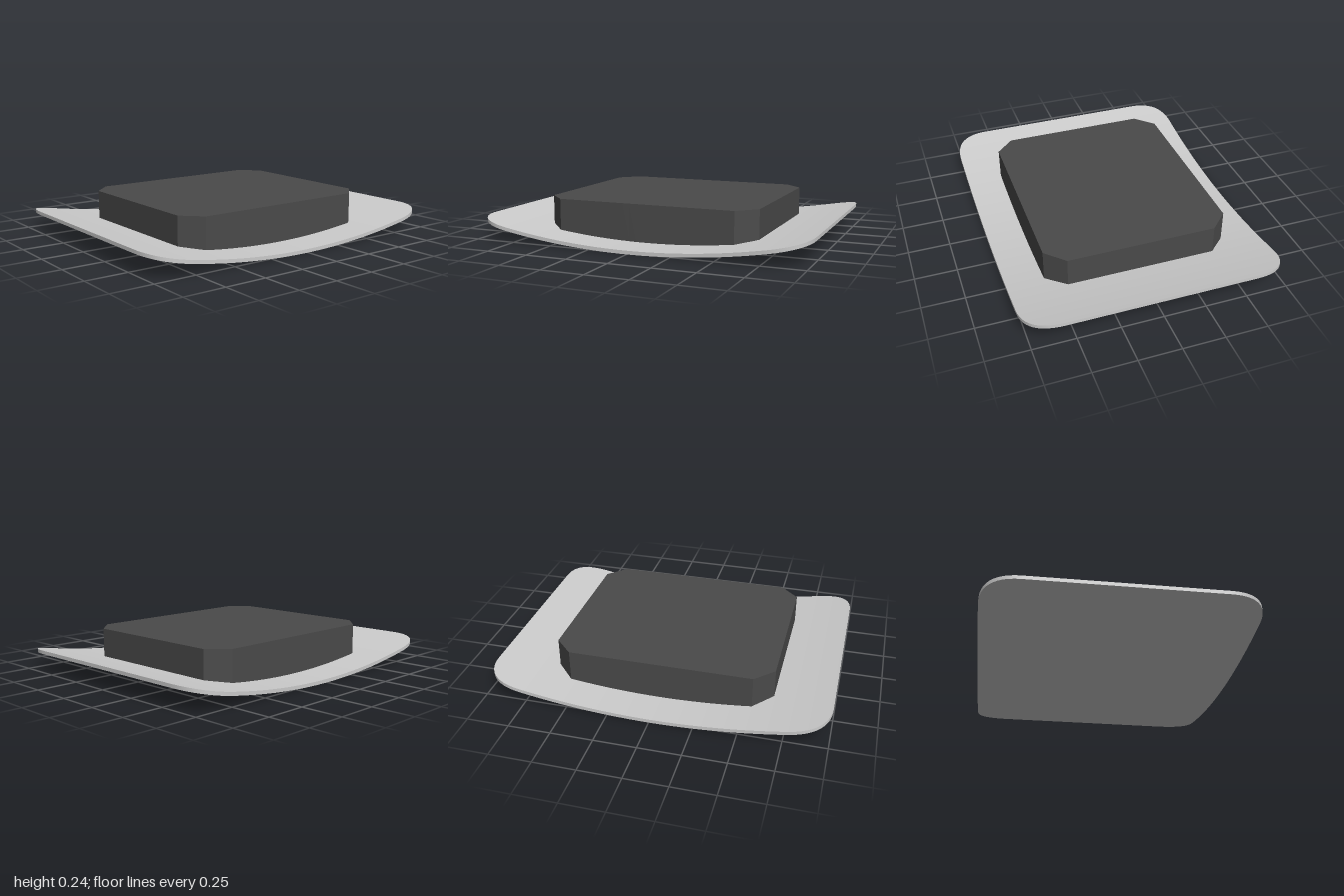
import * as THREE from 'three';
import { toCreasedNormals } from 'three/addons/utils/BufferGeometryUtils.js';

// Height of the bowed plate's underside at x
const bow = (x) => 0.114 * x * x;
const THICKNESS = 0.021;

// Solid lofted along x from stations {x, z: half depth, bottom, top}
function loft(stations) {
  const positions = [];
  const index = [];
  for (const s of stations) {
    positions.push(s.x, s.bottom, s.z, s.x, s.top, s.z, s.x, s.top, -s.z, s.x, s.bottom, -s.z);
  }
  for (let i = 0; i < stations.length - 1; i++) {
    for (let k = 0; k < 4; k++) {
      const a = i * 4 + k;
      const b = i * 4 + ((k + 1) % 4);
      index.push(a, a + 4, b, b, a + 4, b + 4);
    }
  }
  // End caps
  const e = (stations.length - 1) * 4;
  index.push(0, 1, 2, 0, 2, 3, e, e + 2, e + 1, e, e + 3, e + 2);
  const geometry = new THREE.BufferGeometry();
  geometry.setAttribute('position', new THREE.Float32BufferAttribute(positions, 3));
  geometry.setIndex(index);
  return toCreasedNormals(geometry, 0.5);
}

// Mirror a right-hand half profile of [x, halfDepth], adding a curved middle
function fullProfile(half, steps) {
  const inner = half[0];
  const middle = [];
  for (let i = 1; i < steps; i++) middle.push([-inner[0] + (2 * inner[0] * i) / steps, inner[1]]);
  const left = half.map(([x, z]) => [-x, z]).reverse();
  return [...left, ...middle, ...half];
}

export function createModel() {
  const group = new THREE.Group();
  const add = (name, geometry, color) => {
    const mesh = new THREE.Mesh(geometry, new THREE.MeshStandardMaterial({ color }));
    mesh.name = name;
    group.add(mesh);
  };

  // Thin bowed plate with rounded corners
  const r = 0.22;
  const depth = 0.775;
  const corner = [];
  for (let i = 0; i <= 12; i++) {
    const t = i / 12;
    corner.push([1 - r + r * (2 * t - t * t), depth - r * t * t]);
  }
  add('curvedPlate', loft(fullProfile(corner, 32).map(([x, z]) => (
    { x, z, bottom: bow(x), top: bow(x) + THICKNESS }))), 0xcccccc);

  // Chamfered block whose underside follows the plate
  const chamfer = [[0.545, 0.553], [0.6, 0.498], [0.655, 0.443]];
  add('block', loft(fullProfile(chamfer, 24).map(([x, z]) => (
    { x, z, bottom: bow(x) + THICKNESS - 0.002, top: 0.242 }))), 0x4a4a4a);

  return group;
}
